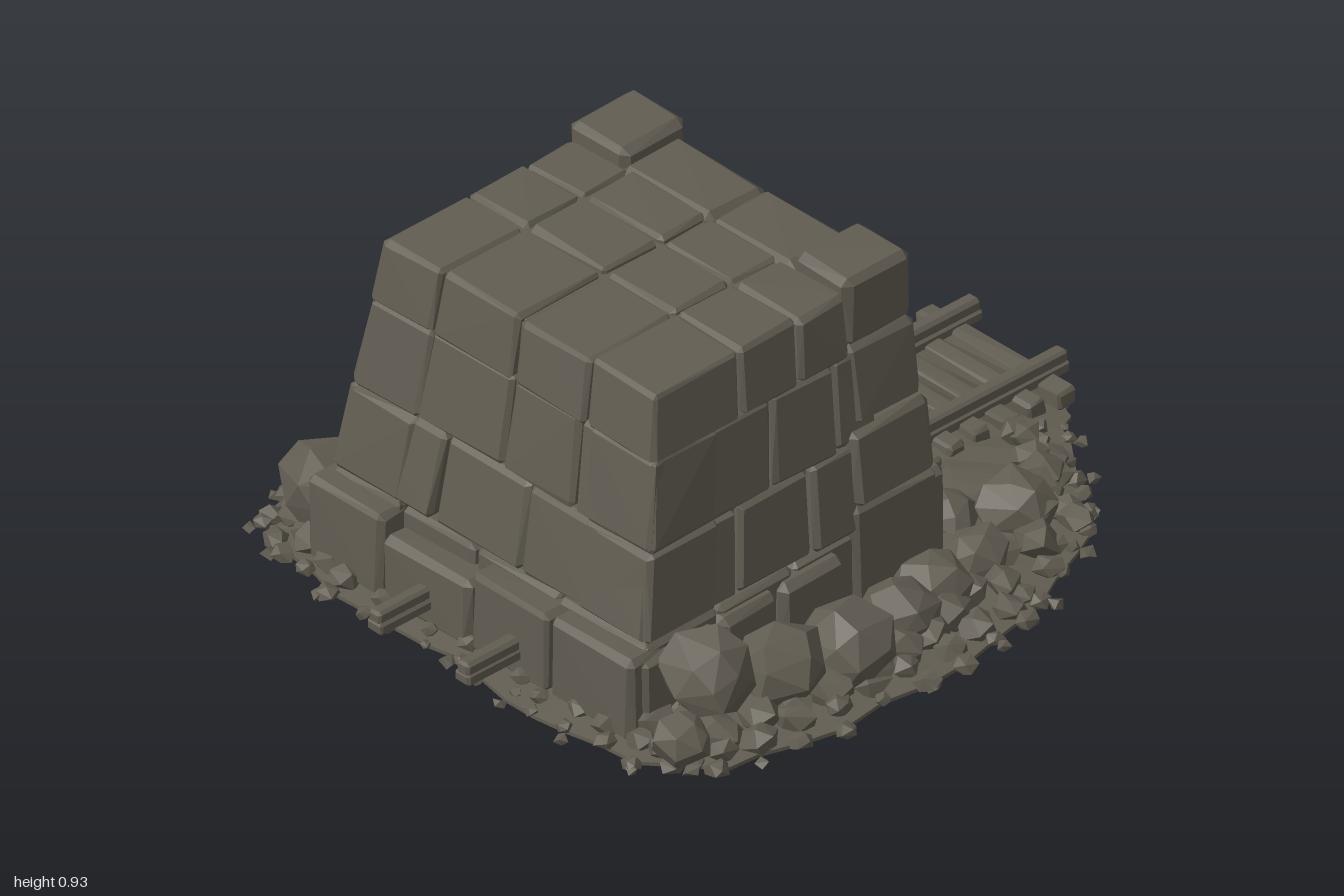
import * as THREE from 'three';
import { mergeGeometries } from 'three/addons/utils/BufferGeometryUtils.js';
import { ConvexGeometry } from 'three/addons/geometries/ConvexGeometry.js';

export function createModel() {
  const model = new THREE.Group();
  const stone = new THREE.MeshStandardMaterial({ color: 0x625d52 });
  stone.name = 'weathered stone';
  stone.flatShading = true;

  let seed = 11;
  const rnd = () => (seed = (seed * 16807) % 2147483647) / 2147483647;
  const vary = (a) => (rnd() - 0.5) * 2 * a;
  const add = (name, geos) => {
    const mesh = new THREE.Mesh(mergeGeometries(geos), stone);
    mesh.name = name;
    model.add(mesh);
  };

  // Walls lean inwards as they rise
  const lean = (p) => {
    const f = 1 - 0.22 * Math.max(0, p.y - 0.25);
    p.z *= f;
    if (p.x < 0) p.x *= f;
    return p;
  };
  const same = (p) => p;

  // Worn block with uneven chamfered corners
  function block(x0, x1, y0, y1, z0, z1, map = same, c = 0.02, wear = 0.008) {
    const pts = [];
    for (const sx of [0, 1]) for (const sy of [0, 1]) for (const sz of [0, 1]) {
      const w = () => rnd() * wear;
      const at = (a, b, d) => pts.push(map(new THREE.Vector3(
        sx ? x1 - a : x0 + a, sy ? y1 - b : y0 + b, sz ? z1 - d : z0 + d)));
      at(w(), c + w(), c + w());
      at(c + w(), w(), c + w());
      at(c + w(), c + w(), w());
    }
    return new ConvexGeometry(pts);
  }

  // Boulder: hull of scattered points on a squashed sphere
  function rock(x, y, z, r, squash = 0.8, n = 18) {
    const pts = [], turn = rnd() * 6;
    for (let i = 0; i < n; i++) {
      const h = 1 - 2 * (i + 0.5) / n, a = turn + i * 2.4 + vary(0.25), s = Math.sqrt(1 - h * h);
      const k = r * (1 + vary(0.12));
      pts.push(new THREE.Vector3(x + Math.cos(a) * s * k,
        Math.max(0.012, y + h * k * squash), z + Math.sin(a) * s * k));
    }
    return new ConvexGeometry(pts);
  }

  // Ground: rings shrinking from an irregular outline up to a low mound
  const outline = [[-0.87, 0], [-0.89, -0.3], [-0.84, -0.6], [-0.78, -0.76], [-0.5, -0.82], [-0.2, -0.86],
    [0.2, -0.84], [0.52, -0.81], [0.66, -0.7], [0.75, -0.48], [0.84, -0.3], [0.94, -0.24], [0.94, 0.22],
    [0.86, 0.3], [0.71, 0.48], [0.6, 0.65], [0.3, 0.78], [0, 0.86], [-0.4, 0.84], [-0.74, 0.77],
    [-0.85, 0.6], [-0.9, 0.3]];
  const loop = [];
  outline.forEach(([x, z], i) => {
    const [nx, nz] = outline[(i + 1) % outline.length];
    for (let k = 0; k < 3; k++) {
      const t = k / 3, j = 1 + vary(0.015);
      loop.push([(x + (nx - x) * t) * j, (z + (nz - z) * t) * j]);
    }
  });
  const rings = [[0, 0.01], [1, 0.01], [1, 0.02], [0.85, 0.035], [0.65, 0.055], [0.35, 0.06], [0, 0.06]];
  const pos = [], idx = [], n = loop.length;
  rings.forEach(([s, y], r) => {
    loop.forEach(([x, z], i) => {
      pos.push(x * s, y + (r > 2 ? vary(0.006) : 0), z * s);
      if (r === rings.length - 1) return;
      const a = r * n + i, b = r * n + (i + 1) % n, c = a + n, d = b + n;
      if (r > 0) idx.push(a, c, b);
      if (r < rings.length - 2) idx.push(b, c, d);
    });
  });
  const ground = new THREE.BufferGeometry();
  ground.setAttribute('position', new THREE.Float32BufferAttribute(pos, 3));
  ground.setIndex(idx);
  ground.computeVertexNormals();
  const groundMesh = new THREE.Mesh(ground, stone);
  groundMesh.name = 'ground';
  stone.side = THREE.DoubleSide;
  model.add(groundMesh);

  // Side and back walls in staggered courses, with a plain lining behind the joints
  const courses = [[0.02, 0.27], [0.26, 0.5], [0.49, 0.74]];
  const cuts = [[-0.77, -0.52, -0.27, -0.06, 0.04], [-0.77, -0.45, -0.2, 0.04], [-0.77, -0.57, -0.33, -0.1, 0.04]];
  const walls = [];
  for (const s of [-1, 1]) {
    courses.forEach(([y0, y1], r) => {
      for (let i = 0; i < cuts[r].length - 1; i++) {
        const out = 0.55 - rnd() * 0.012, z = s > 0 ? [0.3, out] : [-out, -0.3];
        walls.push(block(cuts[r][i], cuts[r][i + 1], y0, y1, ...z, lean, 0.013));
      }
    });
    const z = s > 0 ? [0.28, 0.525] : [-0.525, -0.28];
    walls.push(block(-0.74, 0.03, 0.02, 0.76, ...z, lean, 0.002, 0));
  }
  add('sideWalls', walls);
  const back = [block(-0.74, -0.54, 0.02, 0.76, -0.5, 0.5, lean, 0.002, 0)];
  const backCuts = [[-0.55, -0.3, -0.05, 0.24, 0.55], [-0.55, -0.2, 0.1, 0.34, 0.55], [-0.55, -0.32, 0, 0.26, 0.55]];
  courses.forEach(([y0, y1], r) => {
    for (let i = 0; i < 4; i++) {
      back.push(block(-0.77 + rnd() * 0.01, -0.52, y0, y1, backCuts[r][i], backCuts[r][i + 1], lean, 0.013));
    }
  });
  add('backWall', back);

  // Projecting plinth round the foot of the walls
  const plinth = [];
  [-0.56, -0.3, 0, 0.27, 0.56].forEach((z, i, a) => {
    if (i) plinth.push(block(-0.83, -0.7, 0.02, 0.26 - rnd() * 0.05, a[i - 1], z, same, 0.015));
  });
  [-0.8, -0.54, -0.34, -0.12].forEach((x, i, a) => {
    if (!i) return;
    plinth.push(block(a[i - 1], x, 0.02, 0.25, 0.45, 0.575), block(a[i - 1], x, 0.02, 0.25, -0.575, -0.45));
  });
  add('plinth', plinth);

  // Roof slabs
  const roof = [block(-0.74, 0.02, 0.74, 0.885, -0.52, 0.52, lean, 0.005, 0)];
  const rz = [-0.55, -0.31, 0, 0.28, 0.55], rx = [-0.77, -0.44, -0.22, -0.03];
  for (let i = 0; i < 3; i++) for (let j = 0; j < 4; j++) {
    roof.push(block(rx[i], rx[i + 1], 0.72, 0.912 - rnd() * 0.014, rz[j], rz[j + 1], lean, 0.013));
  }
  add('roofSlabs', roof);

  // Entrance pillars, caps and lintel
  const gate = [];
  for (const s of [-1, 1]) {
    const put = (x0, x1, y0, y1, a, b, m = same, c = 0.02) =>
      gate.push(block(x0, x1, y0, y1, s > 0 ? a : -b, s > 0 ? b : -a, m, c));
    put(0.0, 0.25, 0.02, 0.32, 0.33, 0.535);
    put(-0.08, 0.21, 0.02, 0.34, 0.3, 0.55);
    put(-0.07, 0.2, 0.32, 0.54, 0.32, 0.56, lean);
    put(-0.05, 0.19, 0.53, 0.76, 0.32, 0.55, lean);
    put(-0.04, 0.185, 0.74, 0.945, 0.285, 0.485);
  }
  gate.push(block(-0.05, 0.155, 0.75, 0.91, -0.3, 0.02), block(-0.05, 0.16, 0.75, 0.905, 0, 0.3));
  gate.push(block(-0.03, 0.12, 0.69, 0.775, -0.33, 0.33, same, 0.025));
  add('entranceStones', gate);

  // Timber frame inside the opening
  const frame = [block(0.0, 0.08, 0.655, 0.705, -0.3, 0.3, same, 0.006)];
  for (const s of [-1, 1]) {
    frame.push(block(0.0, 0.08, 0.03, 0.68, s > 0 ? 0.25 : -0.32, s > 0 ? 0.32 : -0.25, same, 0.006));
    const brace = [];
    for (const x of [0.01, 0.1]) {
      for (const [z, y] of [[0.255, 0.54], [0.255, 0.6], [0.19, 0.67], [0.14, 0.67]]) {
        brace.push(new THREE.Vector3(x, y, z * s));
      }
    }
    frame.push(new ConvexGeometry(brace));
  }
  add('timberFrame', frame);

  // Stepped buttress on one flank
  add('buttress', [
    block(-0.13, 0.18, 0.02, 0.24, -0.75, -0.48),
    block(-0.1, 0.16, 0.22, 0.41, -0.69, -0.46),
    block(-0.075, 0.13, 0.39, 0.62, -0.635, -0.42),
  ]);

  // Rails slope gently down towards the open end
  const slope = (p) => { p.y -= 0.014 * p.x; return p; };
  const rails = [];
  for (const z of [-0.15, 0.15]) {
    rails.push(block(-0.995, 0.995, 0.065, 0.1, z - 0.027, z + 0.027, slope, 0.006, 0.003));
    rails.push(block(-0.995, 0.995, 0.09, 0.13, z - 0.022, z + 0.022, slope, 0.008, 0.003));
  }
  add('rails', rails);
  const ties = [];
  for (let i = 0; i < 16; i++) {
    const x = 0.915 - i * 0.088, w = 0.245 + vary(0.015);
    ties.push(block(x - 0.032, x + 0.032, 0.03, 0.088, -w, w, slope, 0.008));
  }
  add('sleepers', ties);

  // Large boulders against the walls: x, z, radius, height of centre
  const big = [[-0.65, 0.64, 0.125, 0.19], [-0.43, 0.67, 0.115, 0.13], [-0.24, 0.69, 0.13, 0.1], [-0.04, 0.66, 0.1, 0.09],
    [0.1, 0.63, 0.1, 0.08], [0.27, 0.6, 0.09, 0.07], [0.5, 0.5, 0.1, 0.06], [0.36, 0.42, 0.07, 0.06],
    [-0.68, -0.64, 0.12, 0.12], [-0.46, -0.68, 0.1, 0.12], [-0.24, -0.69, 0.12, 0.14], [0.29, -0.71, 0.12, 0.14],
    [0.46, -0.73, 0.11, 0.1], [0.58, -0.58, 0.11, 0.1], [0.3, -0.5, 0.12, 0.13], [0.42, -0.6, 0.09, 0.09],
    [0.23, -0.42, 0.09, 0.17], [0.66, -0.44, 0.07, 0.05], [-0.78, 0.68, 0.08, 0.08], [0.05, -0.78, 0.08, 0.06]];
  add('boulders', big.map(([x, z, r, y]) => rock(x, y, z, r, 0.9, 22)));

  // Rubble along the rim, clear of the track
  const rubble = [];
  loop.forEach(([x, z]) => {
    if (Math.abs(z) < 0.28 && x > 0) return;
    const sz = Math.abs(z) > 0.4 ? 1 : 0.6;
    for (const [k, r, y] of [[0.87, 0.062, 0.06], [0.94, 0.045, 0.04], [1.0, 0.03, 0.025]]) {
      const f = k + vary(0.025);
      if (x < 0 && Math.abs(z) < 0.55 && k < 0.9) continue;
      rubble.push(rock(x * f + vary(0.02), y, z * f + vary(0.02), r * sz * (0.75 + rnd() * 0.5), 0.8, 12));
    }
  });
  add('rubble', rubble);

  // Chips scattered beyond the rim
  const chips = [];
  loop.forEach(([x, z], i) => {
    if (i % 2 || (Math.abs(z) < 0.28 && x > 0)) return;
    const f = 1.02 + rnd() * 0.025;
    chips.push(rock(x * f, 0.022, z * f, 0.018 + rnd() * 0.008, 0.8, 7));
  });
  add('chips', chips);

  return model;
}
